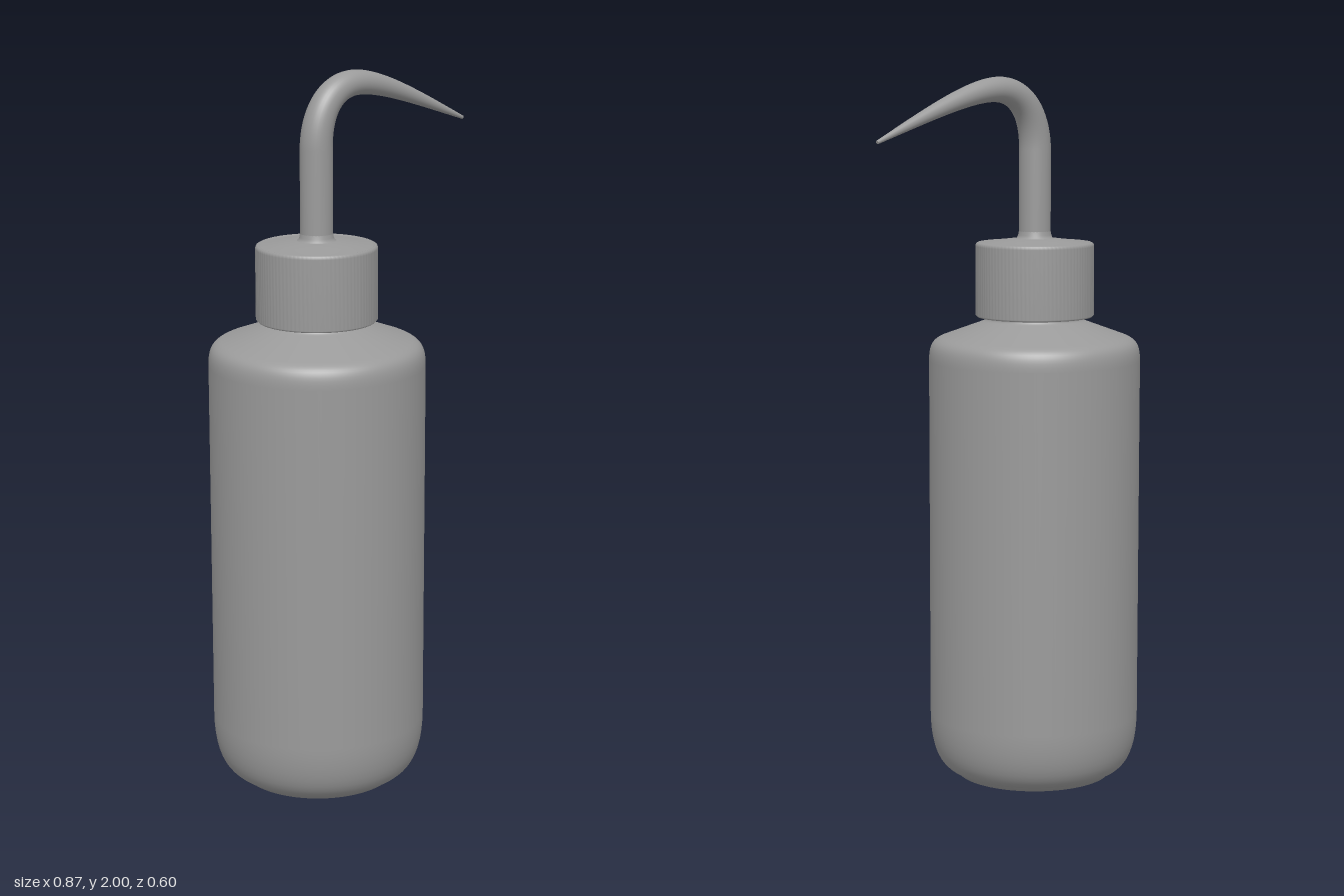
import * as THREE from 'three';

const AXIS = -0.133; // the bottle stands off centre so the spout fits the frame

export function createModel() {
  const model = new THREE.Group();
  const material = new THREE.MeshStandardMaterial({ color: 0x9a9a9a, side: THREE.DoubleSide });
  const add = (name, geometry, x = 0) => {
    const mesh = new THREE.Mesh(geometry, material);
    mesh.name = name;
    mesh.position.x = x;
    model.add(mesh);
  };

  // Bottle: foot, rounded heel, straight wall, rounded shoulder, neck
  const outline = new THREE.Path();
  outline.moveTo(0, 0).lineTo(0.222, 0).lineTo(0.226, 0.011);
  outline.bezierCurveTo(0.275, 0.018, 0.3, 0.08, 0.3, 0.18);
  outline.lineTo(0.3, 1.205);
  outline.bezierCurveTo(0.3, 1.25, 0.288, 1.262, 0.265, 1.272);
  outline.lineTo(0.145, 1.316);
  outline.quadraticCurveTo(0.135, 1.32, 0.135, 1.326);
  outline.lineTo(0.135, 1.36);
  add('bottle', new THREE.LatheGeometry(outline.getPoints(10), 96), AXIS);

  // Screw cap: every third column of the side wall is pressed in as a shallow groove
  const profile = [
    [0.13, 1.329], [0.163, 1.329], [0.168, 1.334], [0.168, 1.529],
    [0.166, 1.536], [0.161, 1.539], [0.157, 1.538], [0.154, 1.535],
    [0.11, 1.544], [0.062, 1.55], [0.04, 1.552],
  ];
  const cap = new THREE.LatheGeometry(profile.map(([r, y]) => new THREE.Vector2(r, y)), 270);
  const p = cap.attributes.position;
  for (let i = 0; i < p.count; i++) {
    const column = Math.floor(i / profile.length);
    const row = i % profile.length;
    if (column % 3 === 0 && (row === 2 || row === 3)) {
      p.setX(i, p.getX(i) * 0.994);
      p.setZ(i, p.getZ(i) * 0.994);
    }
  }
  cap.computeVertexNormals();
  add('screwCap', cap, AXIS);

  // Small flared collar where the spout leaves the cap
  const collar = [[0.057, 1.549], [0.05, 1.553], [0.047, 1.56], [0.044, 1.575]];
  add('spoutCollar', new THREE.LatheGeometry(collar.map(([r, y]) => new THREE.Vector2(r, y)), 48), AXIS);

  // Spout: a bent tube narrowing towards the tip
  const v = (x, y) => new THREE.Vector3(x, y, 0);
  const path = new THREE.CurvePath();
  path.add(new THREE.LineCurve3(v(AXIS, 1.54), v(AXIS, 1.8)));
  path.add(new THREE.CubicBezierCurve3(v(AXIS, 1.8), v(AXIS, 1.9), v(-0.08, 1.967), v(0.01, 1.967)));
  path.add(new THREE.CubicBezierCurve3(v(0.01, 1.967), v(0.1, 1.967), v(0.25, 1.904), v(0.431, 1.831)));
  const steps = 80, sides = 32, radius = 0.045;
  const spout = new THREE.TubeGeometry(path, steps, radius, sides);
  const q = spout.attributes.position;
  const point = new THREE.Vector3();
  for (let i = 0; i <= steps; i++) {
    const u = i / steps;
    const centre = path.getPointAt(u);
    const s = Math.max(0, (u - 0.27) / 0.73);
    const scale = (radius - 0.04 * Math.pow(s, 1.35)) / radius;
    for (let j = 0; j <= sides; j++) {
      const k = i * (sides + 1) + j;
      point.fromBufferAttribute(q, k).sub(centre).multiplyScalar(scale).add(centre);
      q.setXYZ(k, point.x, point.y, point.z);
    }
  }
  add('spout', spout);

  // Flat end of the spout
  const tip = new THREE.CircleGeometry(0.005, 16);
  tip.rotateY(Math.PI / 2).rotateZ(Math.atan2(-0.073, 0.181)).translate(0.431, 1.831, 0);
  add('spoutTip', tip);

  return model;
}
